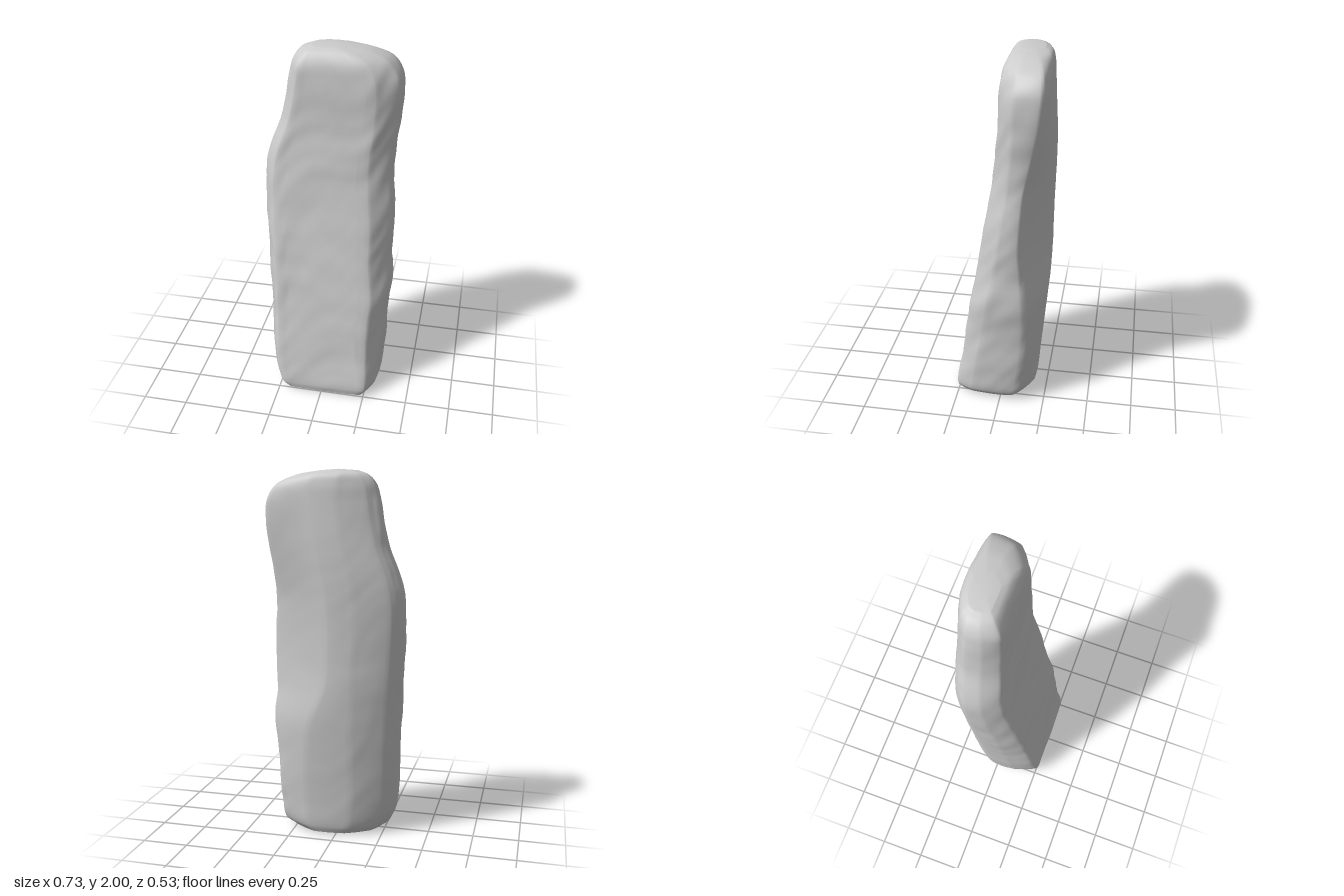
import * as THREE from 'three';

// Outline of the slab by height:
// [y, left x, right x, front z, back z, ridge z on the right, back edge inset]
const LEVELS = [
  [0.01, -0.23, 0.28, 0.255, -0.17, -0.06, 0.3],
  [0.05, -0.275, 0.31, 0.26, -0.185, -0.09, 0.27],
  [0.2, -0.312, 0.32, 0.237, -0.2, -0.12, 0.25],
  [0.45, -0.326, 0.33, 0.2, -0.222, -0.14, 0.26],
  [0.65, -0.336, 0.353, 0.168, -0.24, -0.14, 0.32],
  [0.85, -0.346, 0.338, 0.133, -0.25, -0.12, 0.42],
  [1.0, -0.356, 0.347, 0.108, -0.25, -0.11, 0.45],
  [1.3, -0.364, 0.335, 0.062, -0.256, -0.13, 0.43],
  [1.45, -0.335, 0.338, 0.043, -0.26, -0.16, 0.42],
  [1.63, -0.268, 0.353, 0.024, -0.26, -0.195, 0.42],
  [1.83, -0.227, 0.35, 0.014, -0.252, -0.22, 0.4],
  [1.92, -0.205, 0.3, -0.002, -0.245, -0.215, 0.35],
  [1.97, -0.165, 0.2, -0.03, -0.23, -0.19, 0.3],
  [1.993, -0.11, 0.08, -0.065, -0.19, -0.15, 0.3],
];

// Corners of one cross-section, from front left round by the right side
function corners([y, l, r, f, b, ridge, inset]) {
  const w = r - l, d = f - b, up = y / 2;
  return [
    [l + 0.09 * w, f - 0.004],
    [l + 0.2 * w, f],
    [r - (0.2 + 0.1 * up) * w, f],
    [r - (0.09 + 0.11 * up) * w, f - 0.01],
    [r - 0.01 * w, f - (0.22 + 0.14 * up) * d],
    [r, ridge],
    [r - inset * w, b],
    [l + 0.35 * w, b + 0.02 * d],
    [l + 0.09 * w, b + 0.2 * d],
    [l, f - 0.6 * d],
    [l + 0.005 * w, f - 0.3 * d],
  ].map(([x, z]) => new THREE.Vector3(x, y, z));
}

// Point on a closed cross-section: straight sides with softened corners
function outlinePoint(points, loop, t) {
  const s = t * points.length, k = Math.floor(s);
  const straight = points[k].clone().lerp(points[(k + 1) % points.length], s - k);
  return straight.lerp(loop.getPoint(t), 0.5);
}

// Irregular weathering bumps
function bump({ x, y, z }) {
  const u = x + 0.12 * Math.sin(6 * y + 9 * z), v = y + 0.1 * Math.sin(11 * x - 8 * z);
  return 0.5 * Math.sin(10 * u + 1) * Math.sin(8 * v)
    + 0.4 * Math.sin(17 * u - 12 * z) * Math.sin(15 * v + 2)
    + 0.3 * Math.sin(29 * u + 21 * z) * Math.sin(33 * v + 5 * u);
}

// Joins rings of points into a skin, closed by a cap point
function skin(rings, cap) {
  const n = rings[0].length, index = [];
  for (let i = 0; i < rings.length - 1; i++) {
    for (let j = 0; j < n; j++) {
      const a = i * n + j, b = i * n + (j + 1) % n;
      index.push(a, b, b + n, a, b + n, a + n);
    }
  }
  const last = (rings.length - 1) * n;
  for (let j = 0; j < n; j++) index.push(last + j, last + (j + 1) % n, rings.length * n);
  const geometry = new THREE.BufferGeometry().setFromPoints([...rings.flat(), cap]);
  geometry.setIndex(index);
  geometry.computeVertexNormals();
  return geometry;
}

export function createModel() {
  const group = new THREE.Group();
  group.name = 'standingStone';
  const material = new THREE.MeshStandardMaterial({ color: 0xcccccc, roughness: 0.95 });

  // Smooth edge lines running up the stone, one for each corner
  const sections = LEVELS.map(corners);
  const edges = sections[0].map((_, k) => new THREE.CatmullRomCurve3(sections.map((s) => s[k])));

  // Rings between the edge lines, with worn surfaces
  const rows = (LEVELS.length - 1) * 6, around = edges.length * 8, rings = [];
  for (let i = 0; i <= rows; i++) {
    const points = edges.map((e) => e.getPoint(i / rows));
    const loop = new THREE.CatmullRomCurve3(points, true);
    const ring = [];
    for (let j = 0; j < around; j++) {
      const t = j / around, p = outlinePoint(points, loop, t), tangent = loop.getTangent(t);
      const outward = new THREE.Vector3(-tangent.z, 0, tangent.x).normalize().negate();
      const strength = outward.z > 0.7 ? 0.002 : 0.007;
      const fade = Math.min(1, p.y / 0.1, (2.0 - p.y) / 0.1);
      ring.push(p.addScaledVector(outward, bump(p) * strength * fade));
    }
    rings.push(ring);
  }

  const body = new THREE.Mesh(skin(rings, new THREE.Vector3(-0.01, 2, -0.125)), material);
  body.name = 'stoneBody';
  group.add(body);

  // Flat underside, wound the other way so that it faces down
  const underside = skin([[...rings[0]].reverse()], new THREE.Vector3(0.02, 0, 0.03));
  const base = new THREE.Mesh(underside, material);
  base.name = 'stoneBase';
  group.add(base);

  return group;
}
